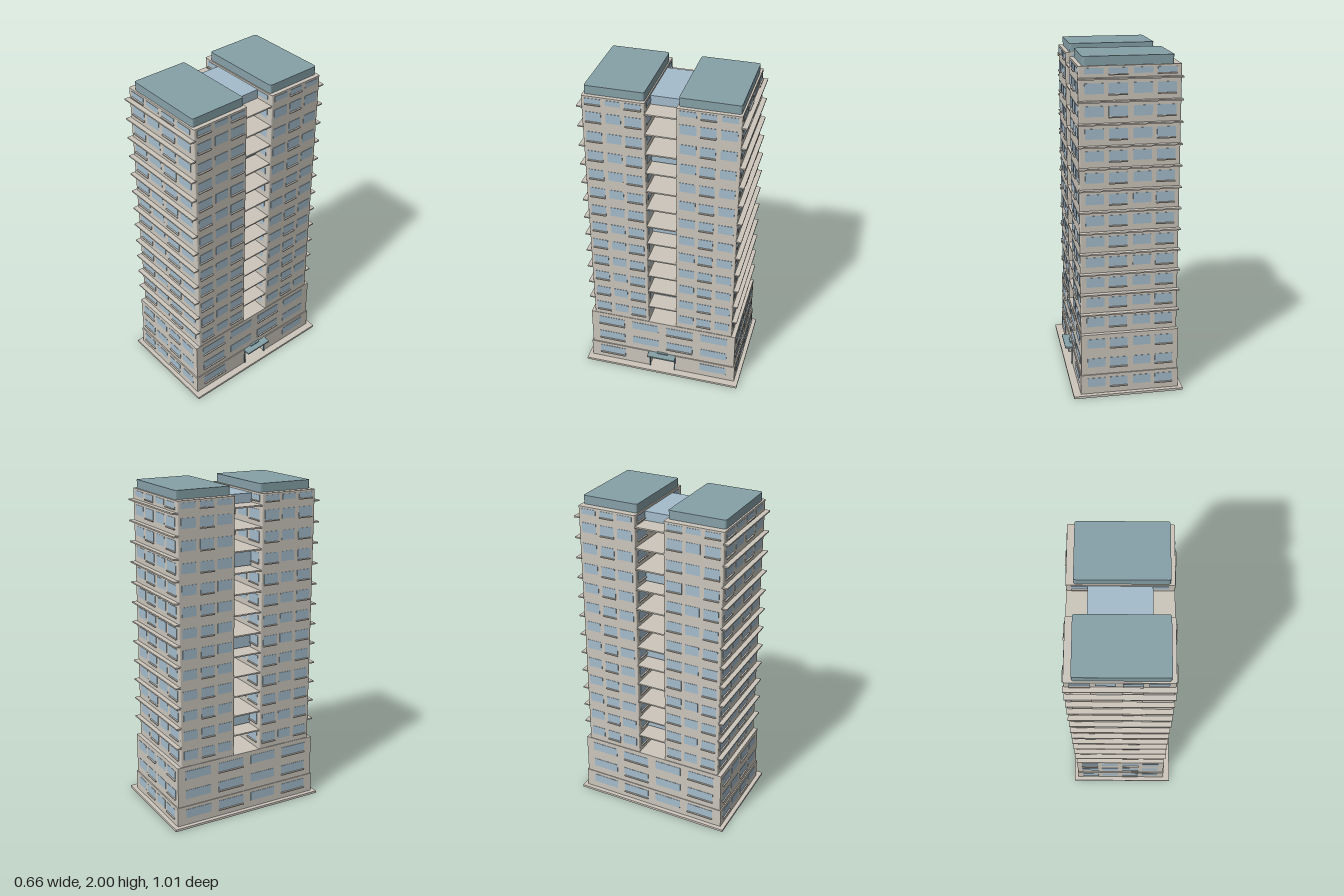
import * as THREE from 'three';

const mat = (name, color) => {
  const m = new THREE.MeshStandardMaterial({ color });
  m.name = name;
  return m;
};

export function createModel() {
  const wall = mat('warm concrete', 0xccc6bc);
  const glass = mat('pale blue glass', 0xa4bccc);
  const roof = mat('grey teal metal', 0x86a1a8);
  const frame = mat('dark teal frame', 0x5b7682);
  const model = new THREE.Group();
  model.name = 'twinTowerBlock';

  const group = (name) => {
    const g = new THREE.Group();
    g.name = name;
    model.add(g);
    return g;
  };

  // Box given by its minimum and maximum corners
  const box = (parent, name, m, x0, x1, y0, y1, z0, z1) => {
    const mesh = new THREE.Mesh(new THREE.BoxGeometry(x1 - x0, y1 - y0, z1 - z0), m);
    mesh.position.set((x0 + x1) / 2, (y0 + y1) / 2, (z0 + z1) / 2);
    mesh.name = name;
    parent.add(mesh);
    return mesh;
  };

  // Plan outline raised to a height
  const raise = (parent, name, m, shape, y0, y1, zc = 0) => {
    const geo = new THREE.ExtrudeGeometry(shape, { depth: y1 - y0, bevelEnabled: false, curveSegments: 3 });
    geo.rotateX(-Math.PI / 2);
    const mesh = new THREE.Mesh(geo, m);
    mesh.position.set(0, y0, zc);
    mesh.name = name;
    parent.add(mesh);
  };

  // Rectangle in plan with softened corners
  const softRect = (x0, x1, d, r) => {
    const s = new THREE.Shape();
    const h = d / 2;
    s.moveTo(x0 + r, -h);
    s.lineTo(x1 - r, -h);
    s.quadraticCurveTo(x1, -h, x1, -h + r);
    s.lineTo(x1, h - r);
    s.quadraticCurveTo(x1, h, x1 - r, h);
    s.lineTo(x0 + r, h);
    s.quadraticCurveTo(x0, h, x0, h - r);
    s.lineTo(x0, -h + r);
    s.quadraticCurveTo(x0, -h, x0 + r, -h);
    return s;
  };

  // Window plate on a wall; axis is the wall normal, u0..u1 the span along the wall
  const addWindow = (parent, axis, sign, plane, u0, u1, y0, y1, sill) => {
    const put = (name, m, ya, yb, out) => {
      const a = Math.min(plane, plane + sign * out);
      const b = Math.max(plane, plane + sign * out);
      if (axis === 'z') box(parent, name, m, u0, u1, ya, yb, a, b);
      else box(parent, name, m, a, b, ya, yb, u0, u1);
    };
    put('windowPane', glass, y0, y1, 0.002);
    if (sill) put('windowSill', wall, y0 - 0.008, y0 - 0.002, 0.009);
  };

  const STEP = 0.1243, FIRST = 0.018;
  const floorY = (i) => FIRST + i * STEP;
  const X0 = -0.296, X1 = 0.274;
  const frontSpans = [[-0.268, -0.162], [-0.135, -0.03], [0.003, 0.108], [0.135, 0.24]];
  const towerSpans = [[0.335, 0.425], [0.222, 0.308], [0.107, 0.2]];
  const podiumSpans = [[0.25, 0.42], [0.027, 0.198], [-0.198, -0.027], [-0.42, -0.25]];

  // Ground slab
  box(group('groundSlab'), 'slab', wall, -0.33, 0.327, 0, 0.014, -0.503, 0.503);

  // Podium: lower tier with an entrance recess, upper tier above it
  const podium = group('podium');
  const lower = new THREE.Shape();
  [[-0.304, -0.477], [0.283, -0.477], [0.283, -0.083], [0.12, -0.083],
    [0.12, 0.083], [0.283, 0.083], [0.283, 0.477], [-0.304, 0.477]]
    .forEach(([x, z], i) => (i ? lower.lineTo(x, z) : lower.moveTo(x, z)));
  raise(podium, 'lowerTier', wall, lower, 0.014, 0.135);
  box(podium, 'upperTier', wall, -0.3, 0.277, 0.13, 0.391, -0.47, 0.47);

  for (let i = 0; i < 3; i++) {
    const y0 = floorY(i) + 0.04, y1 = y0 + 0.056;
    const zp = i ? 0.47 : 0.477, xl = i ? -0.3 : -0.304, xr = i ? 0.277 : 0.283;
    for (const s of [1, -1]) {
      frontSpans.forEach(([a, b], k) => addWindow(podium, 'z', s, s * zp, a, b, y0, y1, k % 2 === 0));
    }
    podiumSpans.forEach(([a, b], k) => {
      addWindow(podium, 'x', -1, xl, a, b, y0, y1, k % 2 === 0);
      if (i || k === 0 || k === 3) addWindow(podium, 'x', 1, xr, a, b, y0, y1, k % 2 === 0);
    });
  }

  // Entrance: canopy, capping piece and two posts
  const entrance = group('entrance');
  box(entrance, 'canopy', roof, 0.278, 0.327, 0.124, 0.134, -0.09, 0.09);
  box(entrance, 'canopyCap', roof, 0.278, 0.29, 0.134, 0.142, -0.035, 0.035);
  for (const s of [-1, 1]) {
    box(entrance, 'post', frame, 0.28, 0.288, 0.014, 0.124, s * 0.083 - 0.004, s * 0.083 + 0.004);
  }

  // Twin towers, mirrored front to back
  for (const s of [1, -1]) {
    const tower = group(s > 0 ? 'frontTower' : 'backTower');
    raise(tower, 'towerBody', wall, softRect(X0, X1, 0.357, 0.008), 0.391, 1.95, s * 0.2665);
    raise(tower, 'roofCap', roof, softRect(-0.255, 0.25, 0.34, 0.014), 1.95, 2.0, s * 0.265);

    for (let i = 3; i < 16; i++) {
      const top = i === 15;
      const y0 = floorY(i) + (top ? 0.024 : 0.04), y1 = y0 + (top ? 0.032 : 0.058);
      frontSpans.forEach(([a, b], k) => {
        addWindow(tower, 'z', s, s * 0.445, a, b, y0, y1, k % 2 === 0);
        addWindow(tower, 'z', -s, s * 0.088, a, b, y0, y1, k % 2 === 0);
      });
      towerSpans.forEach(([a, b], k) => {
        const [u0, u1] = s > 0 ? [a, b] : [-b, -a];
        const sill = (k % 2 === 0) === (s > 0);
        addWindow(tower, 'x', 1, X1, u0, u1, y0, y1, sill);
        addWindow(tower, 'x', -1, X0, u0, u1, y0, y1, sill);
      });
    }
  }

  // Floor plates: ledges on the outer ends and decks across the gap
  const plates = group('floorPlates');
  for (let i = 4; i < 16; i++) {
    const y = floorY(i);
    for (const s of [1, -1]) {
      box(plates, 'ledge', wall, -0.302, 0.279, y - 0.004, y + 0.004, s > 0 ? 0.44 : -0.474, s > 0 ? 0.474 : -0.44);
    }
    box(plates, 'gapDeck', wall, X0, X1, y - 0.004, y + 0.004, -0.09, 0.09);
  }

  // Glazed bridges joining the towers
  const bridges = group('glassBridges');
  for (const [y0, y1] of [[0.525, 0.62], [1.022, 1.113], [1.52, 1.61], [1.886, 1.94]]) {
    box(bridges, 'bridge', glass, -0.182, 0.158, y0, y1, -0.088, 0.088);
  }

  return model;
}
